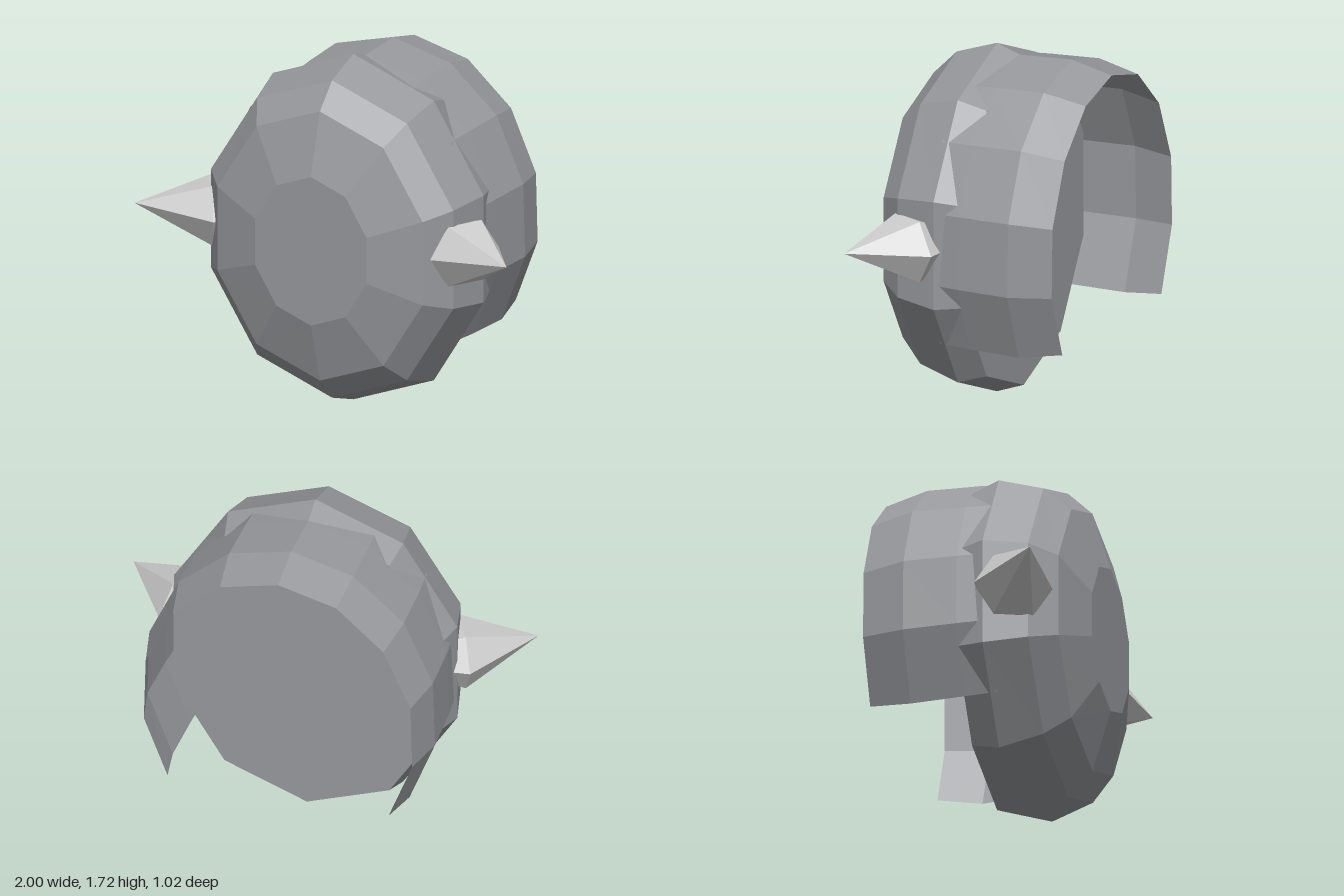
import * as THREE from 'three';

const RAD = Math.PI / 180;

// Skin elliptical rings [z, rx, ry, dy], listed front to back; angles run clockwise from the top.
function loft(rings, sides, start = 0, sweep = 360) {
  const point = ([z, rx, ry, dy = 0], j) => {
    const a = (start + (sweep * j) / sides) * RAD;
    return new THREE.Vector3(rx * Math.sin(a), ry * Math.cos(a) + dy, z);
  };
  const pos = [];
  const tri = (a, b, c) => {
    const area = b.clone().sub(a).cross(c.clone().sub(a)).length();
    if (area > 1e-7) for (const p of [a, b, c]) pos.push(p.x, p.y, p.z);
  };
  for (let i = 0; i < rings.length - 1; i++) {
    for (let j = 0; j < sides; j++) {
      const a = point(rings[i], j), b = point(rings[i], j + 1);
      const c = point(rings[i + 1], j + 1), d = point(rings[i + 1], j);
      tri(a, b, c);
      tri(a, c, d);
    }
  }
  const geo = new THREE.BufferGeometry();
  geo.setAttribute('position', new THREE.Float32BufferAttribute(pos, 3));
  geo.computeVertexNormals();
  return geo;
}

export function createModel() {
  const group = new THREE.Group();
  const shellMat = new THREE.MeshStandardMaterial({ color: 0x96989c, flatShading: true });
  const bandMat = new THREE.MeshStandardMaterial({ color: 0x96989c, flatShading: true, side: THREE.DoubleSide });
  const spikeMat = new THREE.MeshStandardMaterial({ color: 0xcccccc, flatShading: true });

  const add = (name, geo, mat, x, y, z) => {
    const mesh = new THREE.Mesh(geo, mat);
    mesh.name = name;
    mesh.position.set(x, y, z);
    group.add(mesh);
    return mesh;
  };

  // Domed ten-sided disc with a flat front and back
  const disc = loft([
    [0.51, 0, 0], [0.51, 0.315, 0.37], [0.42, 0.58, 0.67], [0.3, 0.685, 0.79],
    [0.09, 0.736, 0.86], [-0.05, 0.693, 0.81], [-0.05, 0, 0],
  ], 10);
  add('domedDisc', disc, shellMat, 0, 0.862, 0);

  // Thin rear band, open at the bottom
  const band = loft([
    [0.12, 0.7, 0.805], [-0.04, 0.713, 0.815], [-0.3, 0.723, 0.825], [-0.51, 0.675, 0.775],
  ], 10, -126, 252);
  add('rearBand', band, bandMat, 0, 0.865, 0);

  // Six-sided side spikes, swept forward
  const spike = loft([
    [0.37, 0, 0, 0.035], [0, 0.19, 0.172], [-0.1, 0.15, 0.136], [-0.1, 0, 0],
  ], 6, 30);
  for (const s of [1, -1]) {
    const mesh = add(s > 0 ? 'leftSpike' : 'rightSpike', spike, spikeMat, 0.677 * s, 0.88, 0.235);
    mesh.rotation.y = 61 * RAD * s;
  }
  return group;
}
